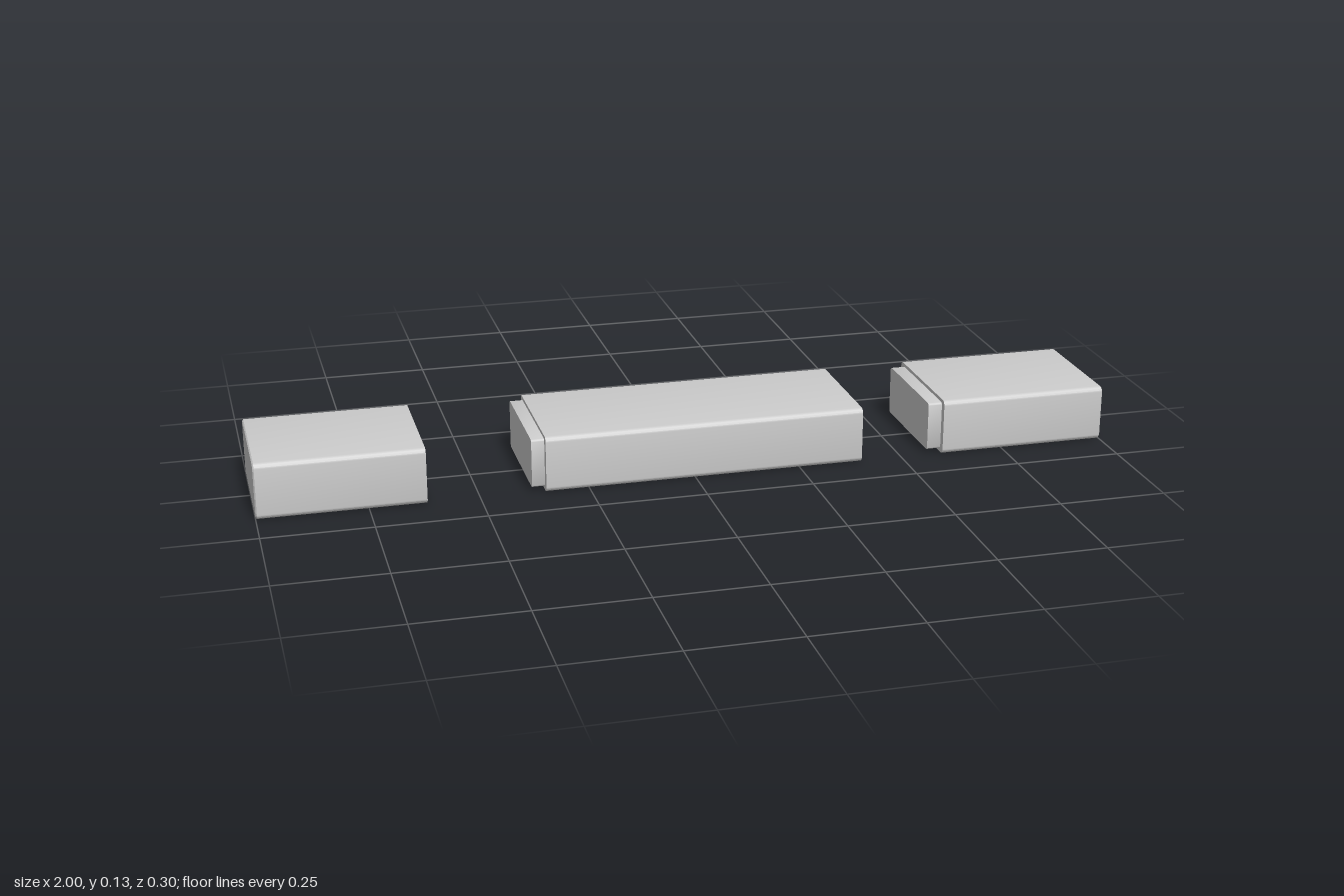
import * as THREE from 'three';
import { toCreasedNormals } from 'three/addons/utils/BufferGeometryUtils.js';

const HALF_WIDTH = 0.15, HEIGHT = 0.132, RADIUS = 0.012, BEVEL = 0.003;
const SOCKET_DEPTH = 0.035, CORNER_STEPS = 5;
// Insets from the block's outline: [sideways, vertical]
const TENON = [0.016, 0.008], SOCKET = [0.012, 0.007];

// Rounded rectangle in the zy plane at a given x, shrunk by the insets
function section(x, [insetZ, insetY] = [0, 0]) {
  const r = RADIUS - insetY * 0.5;
  const hz = HALF_WIDTH - insetZ - r, hy = HEIGHT / 2 - insetY - r;
  const loop = [];
  [[1, 1], [-1, 1], [-1, -1], [1, -1]].forEach(([sz, sy], corner) => {
    for (let i = 0; i <= CORNER_STEPS; i++) {
      const a = (corner + i / CORNER_STEPS) * Math.PI / 2;
      loop.push([x, HEIGHT / 2 + sy * hy + r * Math.sin(a), sz * hz + r * Math.cos(a)]);
    }
  });
  return loop;
}

// Closed skin through successive sections, with a flat cap at each end
function loft(sections) {
  const pos = [];
  const tri = (a, b, c) => pos.push(...a, ...b, ...c);
  const first = sections[0], last = sections[sections.length - 1], n = first.length;
  for (let s = 0; s < sections.length - 1; s++) {
    const A = sections[s], B = sections[s + 1];
    for (let i = 0; i < n; i++) {
      const j = (i + 1) % n;
      tri(A[i], B[i], B[j]);
      tri(A[i], B[j], A[j]);
    }
  }
  for (let i = 1; i < n - 1; i++) {
    tri(first[0], first[i], first[i + 1]);
    tri(last[0], last[i + 1], last[i]);
  }
  const geometry = new THREE.BufferGeometry();
  geometry.setAttribute('position', new THREE.Float32BufferAttribute(pos, 3));
  return toCreasedNormals(geometry, 0.6);
}

// One block: a tenon or plain end at -x, a socket or plain end at +x
function block(name, { x0, x1, tenon = 0, socket = false }, material) {
  const bevel = [BEVEL, BEVEL];
  const start = tenon
    ? [section(x0 - tenon, TENON), section(x0, TENON), section(x0)]
    : [section(x0, bevel), section(x0 + BEVEL)];
  const end = socket
    ? [section(x1), section(x1, SOCKET), section(x1 - SOCKET_DEPTH, SOCKET)]
    : [section(x1 - BEVEL), section(x1, bevel)];
  const mesh = new THREE.Mesh(loft([...start, ...end]), material);
  mesh.name = name;
  return mesh;
}

export function createModel() {
  const model = new THREE.Group();
  model.name = 'interlockingBlocks';
  const grey = new THREE.MeshStandardMaterial({ color: 0xcccccc });
  model.add(
    block('rightEndBlock', { x0: -1, x1: -0.62, socket: true }, grey),
    block('middleBlock', { x0: -0.35, x1: 0.4, tenon: 0.03, socket: true }, grey),
    block('leftEndBlock', { x0: 0.6, x1: 1, tenon: 0.033 }, grey),
  );
  return model;
}
